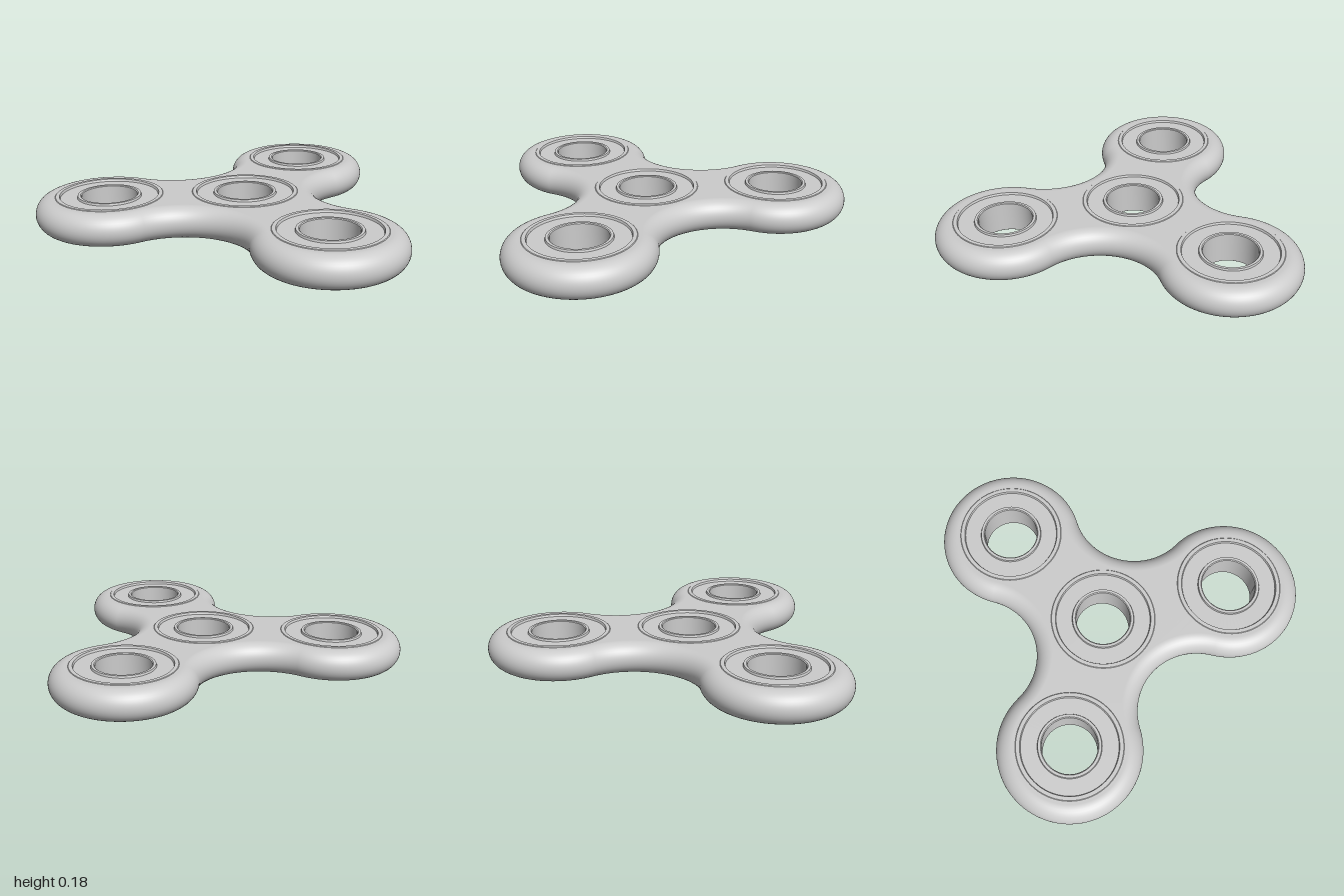
import * as THREE from 'three';
import { toCreasedNormals } from 'three/addons/utils/BufferGeometryUtils.js';

const LOBE = 0.383;             // radius of each rounded lobe
const ARM = 0.712;              // hub centre to lobe centre
const FILLET = ARM - LOBE;      // radius of the concave curves between lobes
const HUB_Z = ARM / 4;          // hub offset that centres the model
const H = 0.178;                // total height
const LIP = 0.003;              // how far the bearings stand proud of the body
const EDGE = H / 2 - LIP;       // radius of the rounded rim
const BEARING = 0.28;

const material = new THREE.MeshStandardMaterial({ color: 0xcccccc });
const rad = THREE.MathUtils.degToRad;

const lobeAngles = [-90, 30, 150];
const centres = [[0, HUB_Z], ...lobeAngles.map(a =>
  [ARM * Math.cos(rad(a)), HUB_Z + ARM * Math.sin(rad(a))])];

// Outline in the ground plane: convex lobe arcs joined by tangent concave arcs
function outline() {
  const pts = [];
  const arc = (centreAngle, radius, from, to, steps, sign) => {
    const cx = ARM * Math.cos(rad(centreAngle));
    const cz = HUB_Z + ARM * Math.sin(rad(centreAngle));
    for (let i = 0; i < steps; i++) {
      const t = rad(from + (to - from) * i / steps);
      const c = Math.cos(t), s = Math.sin(t);
      pts.push({ x: cx + radius * c, z: cz + radius * s, nx: sign * c, nz: sign * s });
    }
  };
  for (const a of lobeAngles) {
    arc(a, LOBE, a - 120, a + 120, 60, 1);
    arc(a + 60, FILLET, a + 300, a + 180, 30, -1);
  }
  return pts;
}

// Half-round rim swept along the outline
function rimGeometry(pts) {
  const steps = 20, row = steps + 1;
  const pos = [], nor = [], idx = [];
  pts.forEach((p, i) => {
    const next = (i + 1) % pts.length;
    for (let j = 0; j <= steps; j++) {
      const f = -Math.PI / 2 + Math.PI * j / steps;
      const c = Math.cos(f), s = Math.sin(f), inset = EDGE * (1 - c);
      pos.push(p.x - p.nx * inset, H / 2 + EDGE * s, p.z - p.nz * inset);
      nor.push(p.nx * c, s, p.nz * c);
      if (j < steps) {
        const a = i * row + j, b = next * row + j;
        idx.push(a, a + 1, b, b, a + 1, b + 1);
      }
    }
  });
  const g = new THREE.BufferGeometry();
  g.setAttribute('position', new THREE.Float32BufferAttribute(pos, 3));
  g.setAttribute('normal', new THREE.Float32BufferAttribute(nor, 3));
  g.setIndex(idx);
  return g;
}

// Flat face with bearing openings; side is 1 for the top, -1 for the bottom
function faceGeometry(pts, side) {
  const shape = new THREE.Shape(pts.map(p =>
    new THREE.Vector2(p.x - p.nx * EDGE, -side * (p.z - p.nz * EDGE))));
  for (const [x, z] of centres) {
    shape.holes.push(new THREE.Path().absarc(x, -side * z, BEARING - 0.002, 0, Math.PI * 2, true));
  }
  const g = new THREE.ShapeGeometry(shape, 48);
  g.rotateX(-side * Math.PI / 2);
  g.translate(0, H / 2 + side * EDGE, 0);
  return g;
}

// Bearing: outer lip, shallow recessed face, inner lip and through hole
function bearingGeometry() {
  const h = H / 2, recess = h - 0.012;
  const upper = [
    [BEARING, h - LIP], [BEARING - 0.003, h], [0.257, h], [0.253, recess],
    [0.167, recess], [0.164, h - 0.001], [0.15, h - 0.001], [0.145, h - 0.005],
  ];
  const lower = upper.map(([r, y]) => [r, -y]).reverse();
  const profile = [...lower, ...upper, lower[0]].map(([r, y]) => new THREE.Vector2(r, y));
  return toCreasedNormals(new THREE.LatheGeometry(profile, 72), 0.4);
}

export function createModel() {
  const model = new THREE.Group();
  model.name = 'spinner';
  const add = (parent, name, geometry) => {
    const mesh = new THREE.Mesh(geometry, material);
    mesh.name = name;
    parent.add(mesh);
    return mesh;
  };

  // Body
  const body = new THREE.Group();
  body.name = 'body';
  model.add(body);
  const pts = outline();
  add(body, 'roundedRim', rimGeometry(pts));
  add(body, 'topFace', faceGeometry(pts, 1));
  add(body, 'bottomFace', faceGeometry(pts, -1));

  // Bearings in the hub and the three lobes
  const bearing = bearingGeometry();
  const names = ['hubBearing', 'backBearing', 'leftBearing', 'rightBearing'];
  centres.forEach(([x, z], i) => add(model, names[i], bearing).position.set(x, H / 2, z));

  return model;
}
